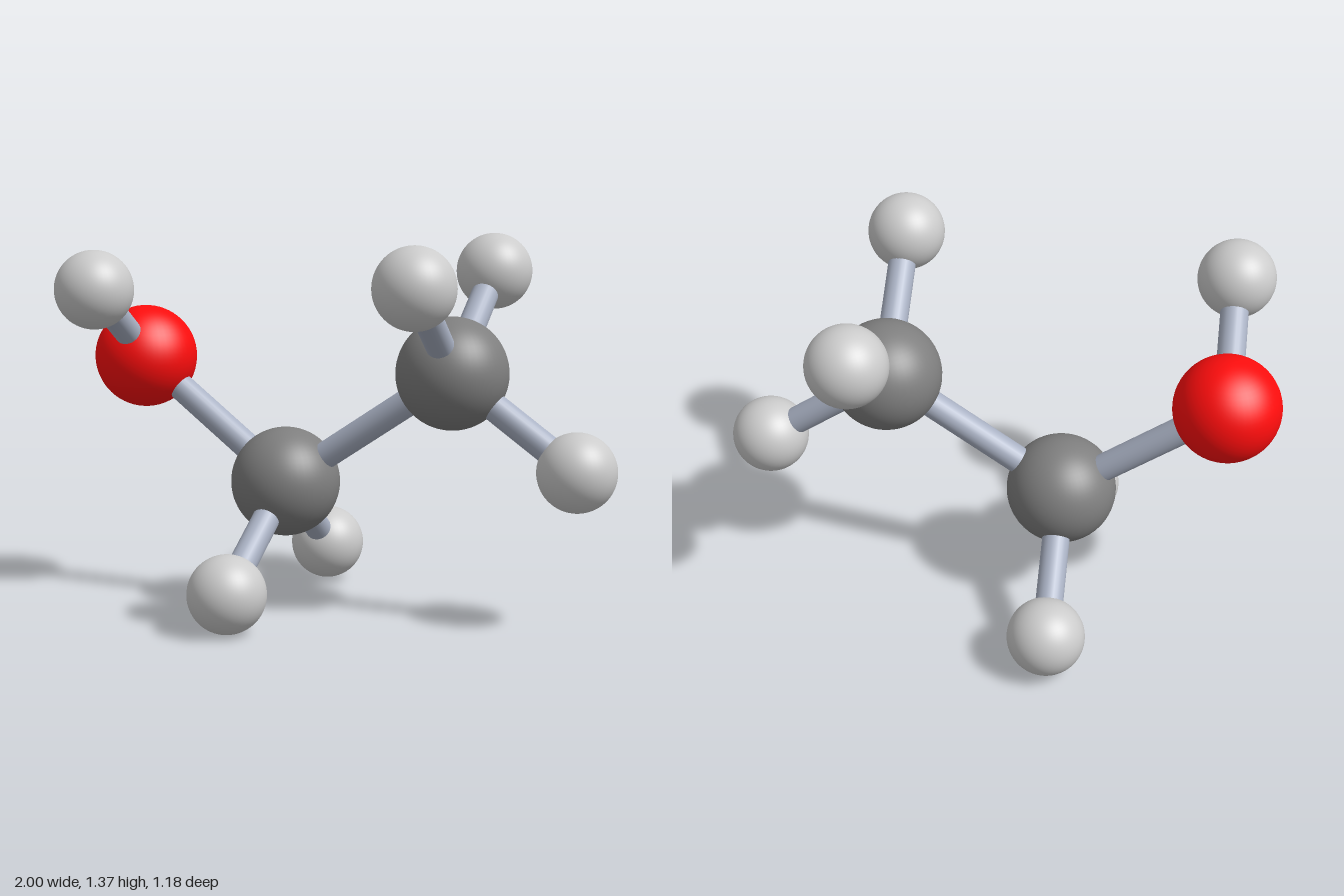
import * as THREE from 'three';

const material = (color) => new THREE.MeshStandardMaterial({ color });

export function createModel() {
  const model = new THREE.Group();
  const kinds = {
    oxygen: { radius: 0.19, mat: material(0xff0d0d) },
    carbon: { radius: 0.2, mat: material(0x7f7f7f) },
    hydrogen: { radius: 0.14, mat: material(0xc8c8c8) },
  };
  const bondMat = material(0xaab2c4);

  // Atoms: name, kind, centre
  const atoms = {};
  const atom = (name, kind, x, y, z) => {
    const { radius, mat } = kinds[kind];
    const mesh = new THREE.Mesh(new THREE.SphereGeometry(radius, 48, 32), mat);
    mesh.name = name;
    mesh.position.set(x, y, z);
    atoms[name] = mesh.position;
    model.add(mesh);
  };
  atom('oxygen', 'oxygen', -0.81, 0.914, 0);
  atom('lowerCarbon', 'carbon', -0.238, 0.473, 0);
  atom('upperCarbon', 'carbon', 0.404, 0.898, 0);
  atom('oxygenHydrogen', 'hydrogen', -0.788, 1.187, 0.412);
  atom('lowerFrontHydrogen', 'hydrogen', -0.262, 0.145, 0.45);
  atom('lowerBackHydrogen', 'hydrogen', -0.262, 0.155, -0.453);
  atom('upperFrontHydrogen', 'hydrogen', 0.425, 1.223, 0.452);
  atom('upperBackHydrogen', 'hydrogen', 0.416, 1.235, -0.441);
  atom('endHydrogen', 'hydrogen', 0.856, 0.573, -0.008);

  // Bonds: round rods running from centre to centre
  const up = new THREE.Vector3(0, 1, 0);
  const bond = (from, to) => {
    const a = atoms[from], b = atoms[to];
    const dir = b.clone().sub(a);
    const rod = new THREE.Mesh(new THREE.CylinderGeometry(0.05, 0.05, dir.length(), 24), bondMat);
    rod.name = `${from}To${to[0].toUpperCase()}${to.slice(1)}Bond`;
    rod.position.lerpVectors(a, b, 0.5);
    rod.quaternion.setFromUnitVectors(up, dir.normalize());
    model.add(rod);
  };
  bond('oxygen', 'lowerCarbon');
  bond('lowerCarbon', 'upperCarbon');
  bond('oxygen', 'oxygenHydrogen');
  for (const side of ['Front', 'Back']) {
    bond('lowerCarbon', `lower${side}Hydrogen`);
    bond('upperCarbon', `upper${side}Hydrogen`);
  }
  bond('upperCarbon', 'endHydrogen');

  return model;
}
